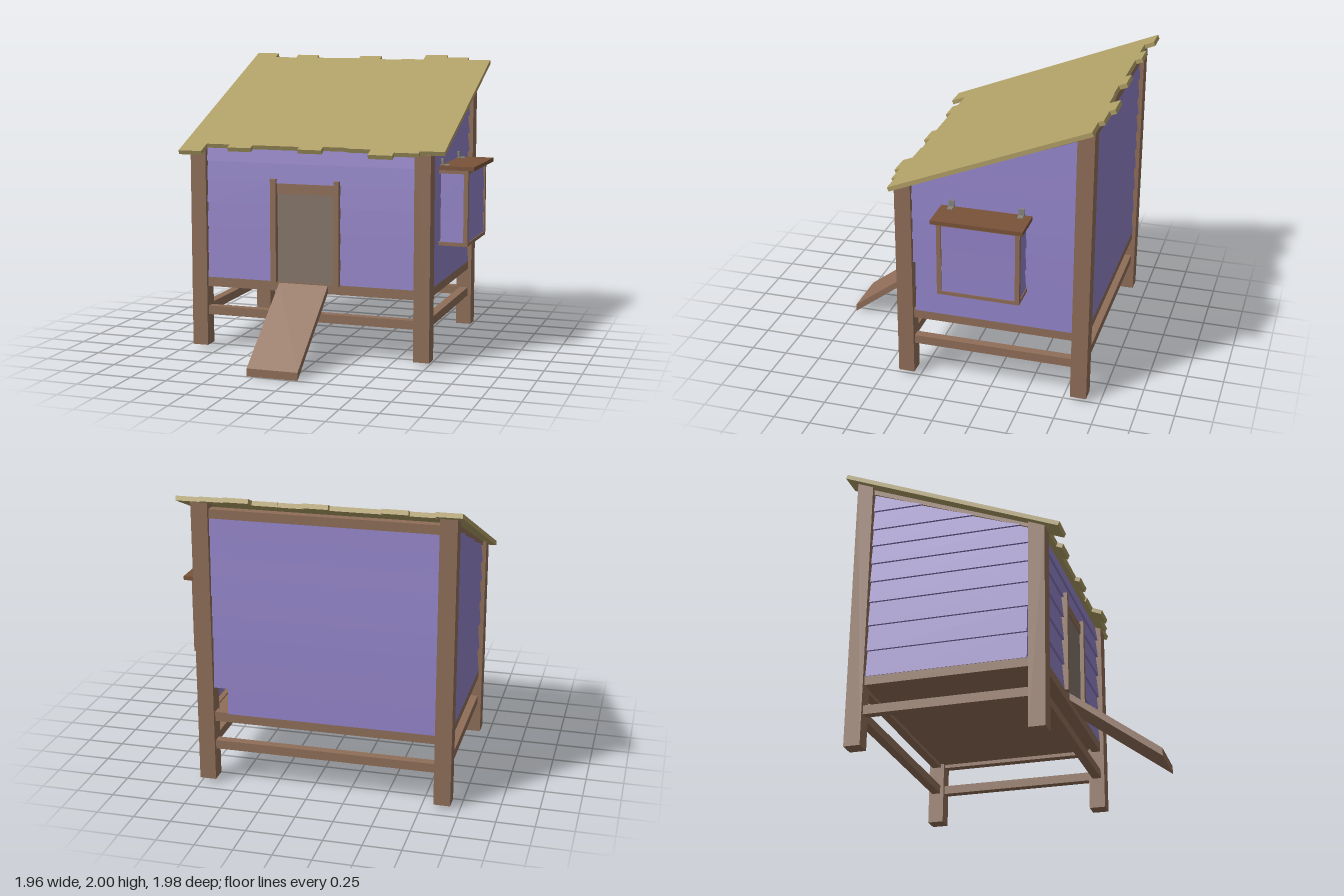
import * as THREE from 'three';
import { ConvexGeometry } from 'three/addons/geometries/ConvexGeometry.js';

const mat = (color) => new THREE.MeshStandardMaterial({ color, flatShading: true });
const SLOPE = 0.405;
const underRoof = (z) => 1.367 + SLOPE * (0.5 - z);

export function createModel() {
  const model = new THREE.Group();
  const wood = mat(0x8f6e58), paint = mat(0x8f80c4), shingle = mat(0xb09f66);
  const lidWood = mat(0x7a5339), doorGrey = mat(0x84756a), metal = mat(0x85857c);

  const add = (name, geo, m, parent = model) => {
    const mesh = new THREE.Mesh(geo, m);
    mesh.name = name;
    parent.add(mesh);
    return mesh;
  };
  const group = (name) => {
    const g = new THREE.Group();
    g.name = name;
    model.add(g);
    return g;
  };
  // box given by its limits on each axis
  const box = (name, x0, x1, y0, y1, z0, z1, m = wood, parent = model) => {
    const mesh = add(name, new THREE.BoxGeometry(x1 - x0, y1 - y0, z1 - z0), m, parent);
    mesh.position.set((x0 + x1) / 2, (y0 + y1) / 2, (z0 + z1) / 2);
    return mesh;
  };
  // convex side profile of [z, y] points, stretched from x0 to x1
  const prism = (name, profile, x0, x1, m = wood, parent = model) =>
    add(name, new ConvexGeometry(profile.flatMap(([z, y]) =>
      [new THREE.Vector3(x0, y, z), new THREE.Vector3(x1, y, z)])), m, parent);

  // corner posts, cut to the roof slope
  const posts = group('cornerPosts');
  for (const x of [-0.94, 0.65])
    for (const z of [-0.91, 0.29])
      prism('cornerPost', [[z, 0.025], [z + 0.11, 0.025], [z + 0.11, underRoof(z + 0.11)],
        [z, underRoof(z)]], x, x + 0.11, wood, posts);

  // lower rails and floor beams on all four sides
  const rails = group('rails');
  for (const [name, y0, y1] of [['lowerRail', 0.24, 0.30], ['floorBeam', 0.44, 0.505]]) {
    for (const z of [-0.885, 0.315]) box(name, -0.83, 0.65, y0, y1, z, z + 0.06, wood, rails);
    for (const x of [-0.915, 0.675]) box(name, x, x + 0.06, y0, y1, -0.8, 0.29, wood, rails);
  }
  box('floor', -0.87, 0.69, 0.465, 0.495, -0.84, 0.33);

  // beams below the roof
  for (const x of [-0.915, 0.675])
    prism('rafter', [[0.29, 1.425], [0.29, 1.452], [-0.8, 1.885], [-0.8, 1.85]], x, x + 0.06, wood, rails);
  box('backTopBeam', -0.83, 0.65, 1.83, 1.89, -0.885, -0.825, wood, rails);
  box('frontTopBeam', -0.83, 0.65, 1.37, 1.42, 0.3, 0.345, wood, rails);

  // overlapping siding: each board leans out towards its lower edge
  const courses = [0.5, 0.68, 0.86, 1.03, 1.18, 1.315, 1.45, 1.575, 1.715, 1.86];
  const board = (parent, outline, y0, y1, place) => {
    const pts = outline.flatMap(([u, y]) => [place(u, y, 0),
      place(u, y, 0.012 + 0.016 * (y1 - y) / (y1 - y0))]);
    add('sidingBoard', new ConvexGeometry(pts), paint, parent);
  };
  const rect = (a, b, y0, y1) => [[a, y0], [b, y0], [b, y1], [a, y1]];

  // front wall with the doorway left open
  const front = group('frontWall');
  const onFront = (u, y, d) => new THREE.Vector3(u, y, 0.347 + d);
  for (let i = 0; i < 6; i++) {
    const y0 = courses[i], y1 = Math.min(courses[i + 1], 1.42);
    const spans = i < 4 ? [[-0.83, -0.34], [0.11, 0.65]] : [[-0.83, 0.65]];
    for (const [a, b] of spans) board(front, rect(a, b, y0, y1), y0, y1, onFront);
  }

  // back wall, its lowest board stops short of one post
  const back = group('backWall');
  for (let i = 0; i < 9; i++)
    board(back, rect(-0.83, i ? 0.65 : 0.56, courses[i], courses[i + 1]), courses[i], courses[i + 1],
      (u, y, d) => new THREE.Vector3(u, y, -0.86 - d));

  // side walls, clipped by the roof slope
  const eave = (y) => 0.29 - Math.max(0, y - 1.43) / 0.387;
  for (const s of [-1, 1]) {
    const wall = group(s < 0 ? 'rightWall' : 'leftWall');
    for (let i = 0; i < 9; i++) {
      const y0 = courses[i], y1 = Math.min(courses[i + 1], 1.848);
      const end = i < 2 ? 0.275 : 0.29;
      const outline = [[-0.795, y0], [Math.min(end, eave(y0)), y0], [Math.min(end, eave(y1)), y1], [-0.795, y1]];
      if (y0 < 1.43 && y1 > 1.43) outline.push([0.29, 1.43]);
      board(wall, outline, y0, y1,
        (u, y, d) => new THREE.Vector3(s < 0 ? -0.89 - d : 0.71 + d, y, u));
    }
  }

  // roof planks of uneven length: [back z, front z]
  const roof = group('roof');
  const ends = [[-0.98, 0.505], [-0.915, 0.405], [-0.96, 0.445], [-0.915, 0.405], [-0.915, 0.405],
    [-0.955, 0.44], [-0.905, 0.395], [-0.912, 0.405], [-0.985, 0.475], [-0.95, 0.435], [-0.915, 0.405]];
  const angle = Math.atan(SLOPE), width = 1.835 / ends.length;
  ends.forEach(([z0, z1], i) => {
    const plank = add('roofPlank', new THREE.BoxGeometry(width, 0.03, (z1 - z0) / Math.cos(angle)), shingle, roof);
    const z = (z0 + z1) / 2;
    plank.position.set(-0.98 + (i + 0.5) * width, underRoof(z) + 0.017, z);
    plank.rotation.x = angle;
  });

  // sliding door with its guides
  const door = group('door');
  box('doorPanel', -0.315, 0.105, 0.5, 1.12, 0.35, 0.372, doorGrey, door);
  box('doorHeader', -0.315, 0.105, 1.11, 1.18, 0.35, 0.38, wood, door);
  box('doorGuide', -0.36, -0.32, 0.5, 1.21, 0.345, 0.4, wood, door);
  box('doorGuide', 0.095, 0.13, 0.5, 1.21, 0.345, 0.4, wood, door);

  // ramp
  prism('ramp', [[0.39, 0.5], [0.39, 0.45], [0.99, 0], [0.99, 0.053]], -0.3, 0.05);

  // nest box: siding panels inside a frame, with an overhanging lid
  const nest = group('nestBox');
  box('nestBottom', 0.72, 0.93, 0.76, 0.785, -0.49, 0.06, wood, nest);
  box('nestTopFrame', 0.72, 0.93, 1.252, 1.278, -0.49, 0.06, wood, nest);
  for (const z of [-0.49, 0.03]) box('nestCornerPost', 0.9, 0.93, 0.76, 1.278, z, z + 0.03, wood, nest);
  const nestCourses = [0.785, 0.927, 1.085, 1.252];
  for (let i = 0; i < 3; i++) {
    const y0 = nestCourses[i], y1 = nestCourses[i + 1];
    const thin = (d) => d * 0.6;
    board(nest, rect(-0.465, 0.035, y0, y1), y0, y1, (u, y, d) => new THREE.Vector3(0.908 + thin(d), y, u));
    board(nest, rect(0.74, 0.91, y0, y1), y0, y1, (u, y, d) => new THREE.Vector3(u, y, 0.038 + thin(d)));
    board(nest, rect(0.74, 0.91, y0, y1), y0, y1, (u, y, d) => new THREE.Vector3(u, y, -0.468 - thin(d)));
  }
  box('nestLid', 0.735, 0.975, 1.278, 1.305, -0.52, 0.085, lidWood, nest);
  for (const z of [0.015, -0.45]) {
    box('hinge', 0.73, 0.75, 1.3, 1.35, z - 0.018, z + 0.018, metal, nest);
    box('hingeLeaf', 0.74, 0.79, 1.303, 1.309, z - 0.018, z + 0.018, metal, nest);
  }
  return model;
}
